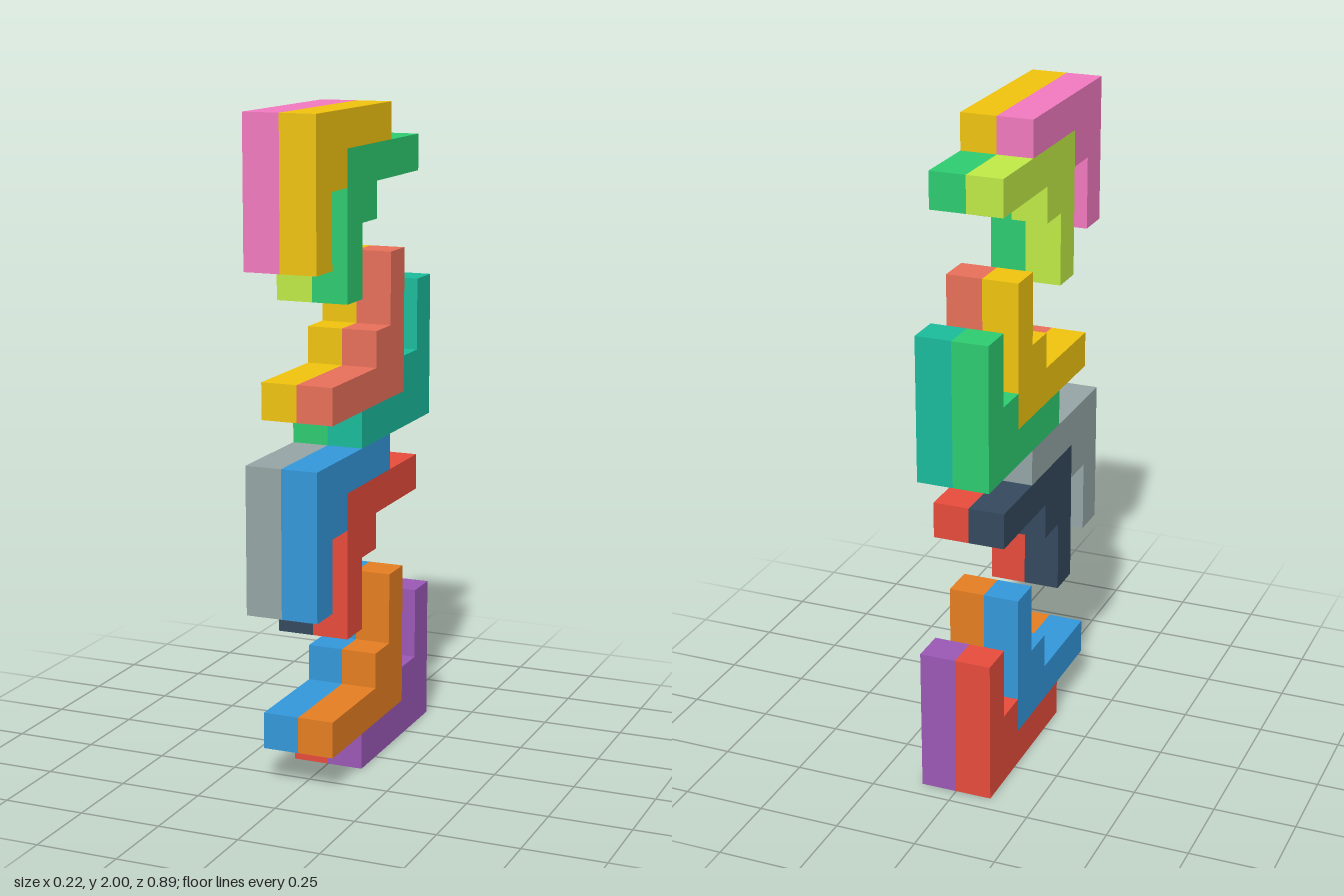
import * as THREE from 'three';

const U = 1 / 9; // edge length of one cube cell

// Stepped hook outlines as [z, y] corners in cells, relative to the tier's base
const outerHook = [[4, 5], [3, 5], [3, 7], [2, 7], [2, 8], [-1, 8], [-1, 9], [4, 9]];
const innerHook = [[2, 4], [1, 4], [1, 6], [0, 6], [0, 7], [-3, 7], [-3, 8], [2, 8]];

// Half turn within a tier
const turned = (outline) => outline.map(([z, y]) => [-z, 9 - y]);

const outlines = {
  upperOuterHook: outerHook,
  upperInnerHook: innerHook,
  lowerInnerHook: turned(innerHook),
  lowerOuterHook: turned(outerHook),
};

// [left (+x), right (-x)] colours for each hook, per tier from the bottom
const tiers = [
  {
    name: 'bottomTier',
    colors: {
      upperOuterHook: [0x3498db, 0x95a5a6],
      upperInnerHook: [0xe74c3c, 0x34495e],
      lowerInnerHook: [0xe67e22, 0x3498db],
      lowerOuterHook: [0x9b59b6, 0xe74c3c],
    },
  },
  {
    name: 'topTier',
    colors: {
      upperOuterHook: [0xf1c40f, 0xf27abf],
      upperInnerHook: [0x2ecc71, 0xc0eb46],
      lowerInnerHook: [0xe8705a, 0xf1c40f],
      lowerOuterHook: [0x1abc9c, 0x2ecc71],
    },
  },
];

// One-cell-thick slab in the z-y plane, spanning x = 0 to U
function hookGeometry(outline) {
  const shape = new THREE.Shape(outline.map(([z, y]) => new THREE.Vector2(z * U, y * U)));
  const geometry = new THREE.ExtrudeGeometry(shape, { depth: U, bevelEnabled: false });
  return geometry.rotateY(-Math.PI / 2).translate(U, 0, 0);
}

export function createModel() {
  const model = new THREE.Group();
  model.name = 'stackedHookBlocks';

  tiers.forEach(({ name, colors }, level) => {
    const tier = new THREE.Group();
    tier.name = name;
    tier.position.y = level * 9 * U;

    for (const [part, pair] of Object.entries(colors)) {
      const geometry = hookGeometry(outlines[part]);
      pair.forEach((color, i) => {
        const mesh = new THREE.Mesh(geometry, new THREE.MeshStandardMaterial({ color }));
        mesh.name = `${part}${i === 0 ? 'Left' : 'Right'}`;
        mesh.position.x = -i * U;
        tier.add(mesh);
      });
    }
    model.add(tier);
  });

  return model;
}
